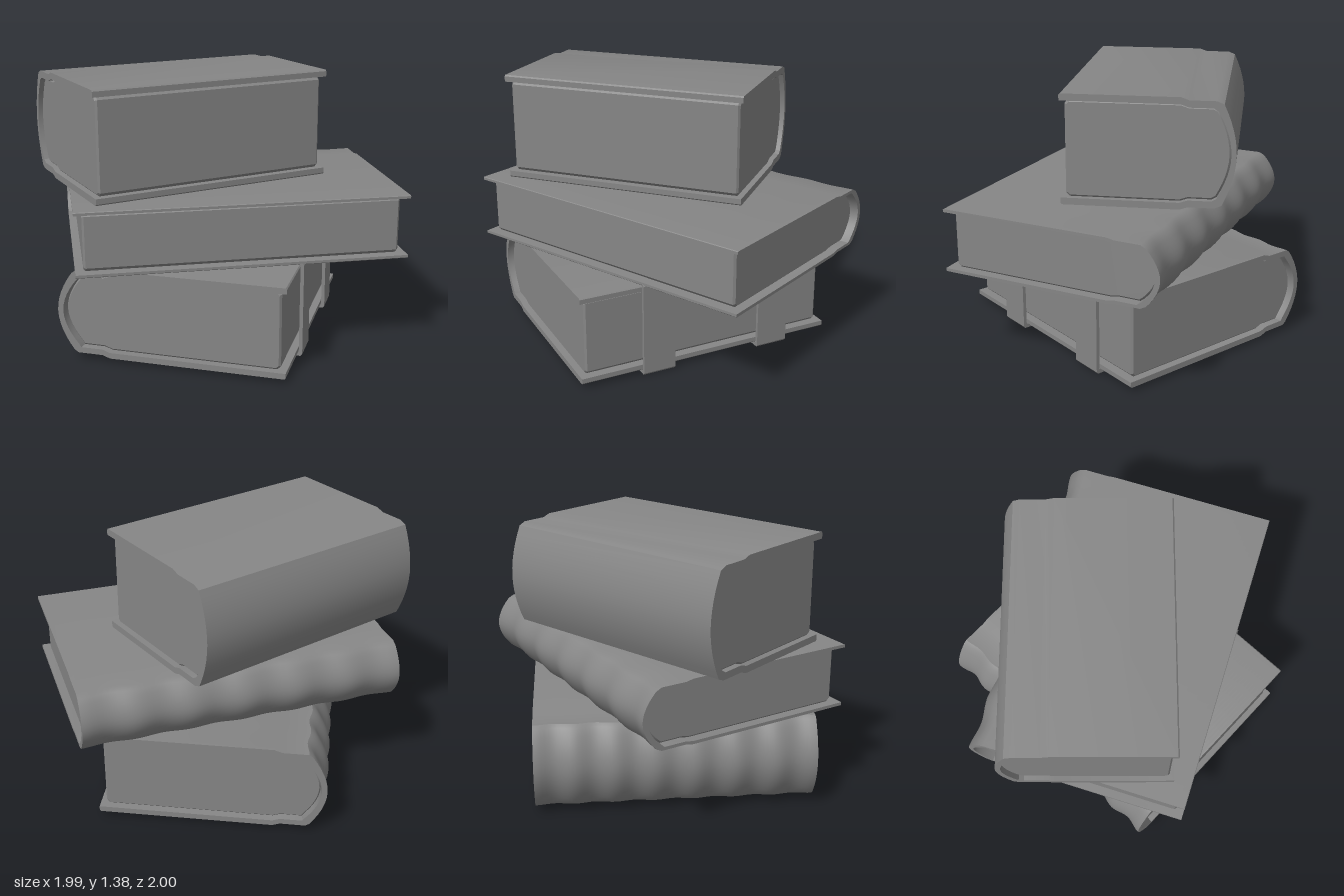
import * as THREE from 'three';
import { toCreasedNormals } from 'three/addons/utils/BufferGeometryUtils.js';

const material = new THREE.MeshStandardMaterial({ color: 0x868686 });

// Upper half of a book's section, from the hinge round to the middle of the spine.
// inset and wall move the line inwards from the outside of the cover.
function spineHalf(h, groove, bulge, inset, wall) {
  const y = h - inset - groove;
  const pts = [[0.27, h - inset], [0.23, y], [0.1 + wall * 0.6, y]];
  for (let i = 0; i <= 6; i++) {
    const s = 1 - i / 6;
    pts.push([wall + bulge * Math.pow(s, 1.9), (y - 0.015) * s]);
  }
  return pts;
}

// Mirrors an upper half line (ending at y = 0) to a full top-to-bottom line
function mirrored(half) {
  return [...half, ...half.slice(0, -1).reverse().map(([x, y]) => [x, -y])];
}

function extrude(points, length, steps, bevel = 0) {
  const shape = new THREE.Shape(points.map(([x, y]) => new THREE.Vector2(x, y)));
  const geo = new THREE.ExtrudeGeometry(shape, {
    depth: length - 2 * bevel, steps, bevelEnabled: bevel > 0, bevelSegments: 1,
    bevelSize: bevel, bevelThickness: bevel, bevelOffset: -bevel,
  });
  return geo.translate(0, 0, bevel - length / 2);
}

// Sinks the spine between its raised bands, fading out towards the hinge
function ripple(geo, length, bands, depth) {
  const p = geo.attributes.position;
  for (let i = 0; i < p.count; i++) {
    const t = p.getZ(i) / length + 0.5;
    const fade = THREE.MathUtils.clamp(1 - p.getX(i) / 0.25, 0, 1);
    const dip = depth * 0.5 * (1 - Math.cos(t * bands * Math.PI * 2));
    p.setX(i, p.getX(i) + dip * fade);
  }
}

function addMesh(group, name, geo, crease = 0.5) {
  const mesh = new THREE.Mesh(toCreasedNormals(geo, crease), material);
  mesh.name = name;
  group.add(mesh);
  return mesh;
}

// Local frame: spine at x = 0, fore edge at x = width, length along z
function makeBook({ name, width, length, h, board, wall, groove, bulge, inset, bands, depth, pos, turn }) {
  const book = new THREE.Group();
  book.name = name;
  const steps = bands ? bands * 10 : 1;

  // Cover: two boards with softened fore edges and the rounded spine as one wrapped section
  const soft = board * 0.2;
  const outer = mirrored([[width, h - soft], [width - soft, h], ...spineHalf(h, groove, bulge, 0, 0)]);
  const inner = mirrored([[width, h - board], ...spineHalf(h, groove, bulge, board, wall)]);
  const cover = extrude([...outer, ...inner.reverse()], length, steps);

  // Pages: fill the cover, set back from its three open edges
  const edge = width - inset, c = 0.018;
  const block = mirrored([[edge, h - board - c], [edge - c, h - board],
    ...spineHalf(h, groove, bulge, board, wall)]);
  const pages = extrude(block, length - 2 * inset, steps, 0.01);

  if (bands) [cover, pages].forEach((g) => ripple(g, length, bands, depth));
  addMesh(book, 'cover', cover);
  addMesh(book, 'pages', pages);

  book.position.set(...pos);
  book.rotation.y = turn;
  return book;
}

export function createModel() {
  const model = new THREE.Group();
  model.name = 'bookStack';

  const bottom = makeBook({
    name: 'bottomBook', width: 1.165, length: 1.41, h: 0.233, board: 0.03, wall: 0.028,
    groove: 0.014, bulge: 0.08, inset: 0.031, bands: 7, depth: 0.022,
    pos: [-0.62, 0.256, 0.26], turn: 0.352,
  });
  const middle = makeBook({
    name: 'middleBook', width: 1.164, length: 1.662, h: 0.164, board: 0.016, wall: 0.026,
    groove: 0.008, bulge: 0.07, inset: 0.04, bands: 6, depth: 0.018,
    pos: [-0.42, 0.656, -0.405], turn: -0.773,
  });
  const top = makeBook({
    name: 'topBook', width: 0.859, length: 1.296, h: 0.28, board: 0.035, wall: 0.025,
    groove: 0.014, bulge: 0.065, inset: 0.023, bands: 0, depth: 0,
    pos: [-0.63, 1.1, -0.105], turn: -0.464,
  });

  // Two straps folded round the fore edge of the bottom book, with a long flap below
  const w = 1.165, low = -0.256, high = 0.242, reach = 0.3, lip = 0.04;
  const strap = [[w - lip, high], [w - lip, 0.233], [w, 0.233], [w, -0.233], [w - reach, -0.233],
    [w - reach, low], [w + 0.01, low], [w + 0.018, low + 0.01], [w + 0.018, high - 0.008], [w + 0.01, high]];
  for (const z of [0.29, -0.37]) {
    addMesh(bottom, 'strap', extrude(strap, 0.175, 1)).position.z = z;
  }

  model.add(bottom, middle, top);
  return model;
}
